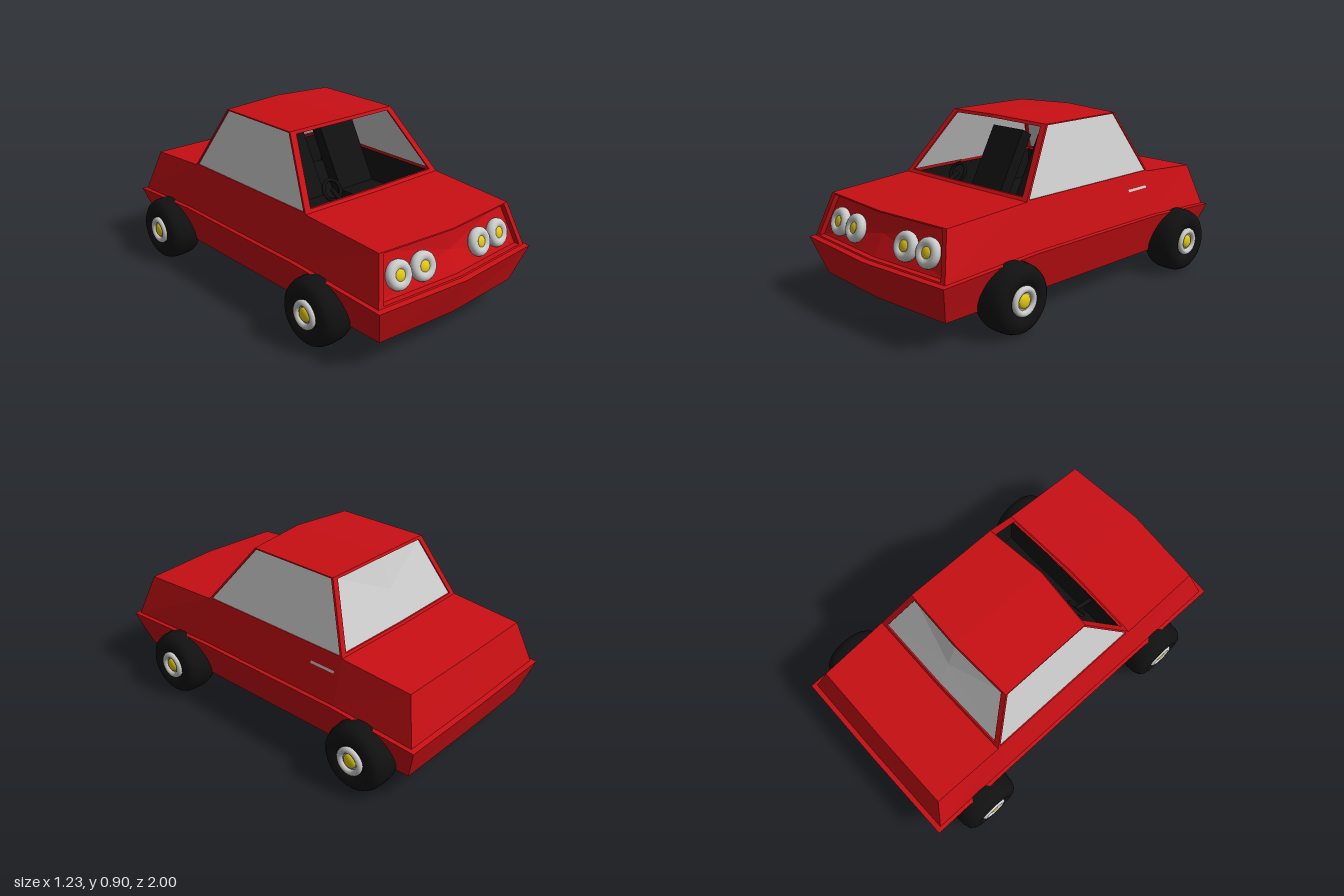
import * as THREE from 'three';

const mat = (color, extra = {}) => new THREE.MeshStandardMaterial({ color, ...extra });
const two = { side: THREE.DoubleSide };
const red = mat(0xc80f14, two);
const grey = mat(0xcccccc);
const glass = mat(0xcccccc, two);
const black = mat(0x111111, two);
const yellow = mat(0xe6c814);

function add(parent, name, geometry, material, pos = [0, 0, 0], rot = [0, 0, 0]) {
  const mesh = new THREE.Mesh(geometry, material);
  mesh.name = name;
  mesh.position.set(...pos);
  mesh.rotation.set(...rot);
  parent.add(mesh);
  return mesh;
}

// Flat-faced surface from triangles
function faces(tris) {
  const g = new THREE.BufferGeometry();
  g.setAttribute('position', new THREE.Float32BufferAttribute(tris.flat(), 3));
  g.computeVertexNormals();
  return g;
}

// Quads between successive rows of points
function strip(rows, closed = false) {
  const tris = [];
  for (let r = 0; r + 1 < rows.length; r++) {
    const a = rows[r], b = rows[r + 1], n = a.length;
    for (let i = 0; i < (closed ? n : n - 1); i++) {
      const j = (i + 1) % n;
      tris.push(a[i], a[j], b[j], a[i], b[j], b[i]);
    }
  }
  return faces(tris);
}

const centre = (pts) => [0, 1, 2].map((k) => pts.reduce((s, p) => s + p[k], 0) / pts.length);

function fan(pts) {
  const c = centre(pts);
  return faces(pts.flatMap((p, i) => [c, p, pts[(i + 1) % pts.length]]));
}

// Frame around an outline, with a recessed panel inside it
function framed(parent, name, outline, scale, push, panel) {
  const c = centre(outline);
  const inner = outline.map((p) => p.map((v, k) => c[k] + (v - c[k]) * scale));
  const deep = inner.map((p) => p.map((v, k) => v + push[k]));
  add(parent, name + 'Frame', strip([outline, inner, deep], true), red);
  if (panel) add(parent, name + 'Panel', fan(deep), panel);
}

// Plan outline of the body, counterclockwise from the front centre
function ring(wEnd, wMid, yEnd, yMid, zNose, zFront, zRear) {
  const half = [[wEnd, yEnd, zFront], [wMid, yMid, 0.39], [wMid, yMid, -0.52], [wEnd, yEnd, zRear]];
  const other = half.map(([x, y, z]) => [-x, y, z]).reverse();
  return [[0, yEnd, zNose], ...half, [0, yEnd, zRear - 0.004], ...other];
}

// A row across the car, with a slight crease at the centre
const row = (w, y, z, yc, zc) => [[-w, y, z], [0, yc, zc], [w, y, z]];

function makeBody() {
  const body = new THREE.Group();
  body.name = 'body';
  const bottom = ring(0.46, 0.46, 0.125, 0.125, 0.93, 0.9, -0.93);
  const belt = ring(0.525, 0.525, 0.315, 0.34, 1.0, 0.96, -0.996);
  const ledge = ring(0.505, 0.508, 0.32, 0.345, 0.97, 0.935, -0.97);
  const shoulder = ring(0.44, 0.45, 0.543, 0.572, 0.9, 0.865, -0.905);
  add(body, 'lowerBody', strip([bottom, belt, ledge], true), red);
  add(body, 'underside', fan([...bottom].reverse()), red);
  add(body, 'upperSides', strip([ledge.slice(1), shoulder.slice(1)]), red);
  framed(body, 'frontFascia',
    [ledge[9], ledge[0], ledge[1], shoulder[1], shoulder[0], shoulder[9]], 0.94, [0, 0, -0.03], red);

  // Hood, trunk lid and roof
  const nose = row(0.44, 0.543, 0.865, 0.543, 0.9);
  const cowl = row(0.45, 0.572, 0.39, 0.576, 0.405);
  const sill = row(0.45, 0.572, -0.52, 0.572, -0.527);
  const tail = row(0.44, 0.543, -0.905, 0.543, -0.909);
  const roofFront = row(0.34, 0.893, 0.148, 0.905, 0.177);
  const roofRear = row(0.34, 0.893, -0.365, 0.905, -0.38);
  add(body, 'hood', strip([nose, cowl]), red);
  add(body, 'trunkLid', strip([sill, tail]), red);
  add(body, 'roof', strip([roofFront, roofRear]), red);

  // Cabin windows, the windshield being open
  framed(body, 'windshield', [...cowl, ...[...roofFront].reverse()], 0.91, [0, 0, -0.012], null);
  framed(body, 'rearWindow', [...[...sill].reverse(), ...roofRear], 0.92, [0, 0, 0.008], glass);
  framed(body, 'leftWindow', [cowl[2], sill[2], roofRear[2], roofFront[2]], 0.965, [-0.006, 0, 0], glass);
  framed(body, 'rightWindow', [sill[0], cowl[0], roofFront[0], roofRear[0]], 0.965, [0.006, 0, 0], glass);

  add(body, 'doorHandle', new THREE.BoxGeometry(0.012, 0.042, 0.145), grey, [0.46, 0.508, -0.415], [0, 0, 0.27]);
  return body;
}

function makeInterior() {
  const interior = new THREE.Group();
  interior.name = 'interior';
  const level = (w, y, f, r) => [[w, y, f], [w, y, r], [-w, y, r], [-w, y, f]];
  const floor = level(0.42, 0.4, 0.36, -0.5);
  add(interior, 'cabinWalls', strip([floor, level(0.44, 0.565, 0.385, -0.515)], true), black);
  add(interior, 'cabinFloor', fan(floor), black);

  // Reclined seats
  for (const x of [-0.173, 0.173]) {
    add(interior, 'seatBack', new THREE.BoxGeometry(0.23, 0.38, 0.07), black, [x, 0.6, -0.03], [-0.5, 0, 0]);
    add(interior, 'seatCushion', new THREE.BoxGeometry(0.23, 0.07, 0.2), black, [x, 0.44, 0.13]);
  }
  add(interior, 'steeringWheel', new THREE.TorusGeometry(0.052, 0.009, 8, 24), black, [-0.178, 0.59, 0.27], [-0.5, 0, 0]);
  add(interior, 'steeringColumn', new THREE.CylinderGeometry(0.012, 0.012, 0.14, 10), black,
    [-0.178, 0.557, 0.33], [Math.PI / 2 + 0.5, 0, 0]);
  return interior;
}

function makeWheel(x, z) {
  const wheel = new THREE.Group();
  wheel.name = 'wheel';
  const profile = [[0, -0.08], [0.07, -0.085], [0.11, -0.094], [0.137, -0.09], [0.157, -0.073], [0.168, -0.045],
    [0.171, 0], [0.168, 0.045], [0.157, 0.073], [0.137, 0.09], [0.11, 0.094], [0.085, 0.088], [0.07, 0.07], [0, 0.07]]
    .map(([r, h]) => new THREE.Vector2(r, h));
  const quarter = Math.PI / 2;
  add(wheel, 'tire', new THREE.LatheGeometry(profile, 40), black, [0, 0, 0], [0, 0, -quarter]);
  add(wheel, 'rim', new THREE.TorusGeometry(0.058, 0.016, 12, 32), grey, [0.083, 0, 0], [0, quarter, 0]);
  add(wheel, 'hubDisc', new THREE.CylinderGeometry(0.055, 0.055, 0.02, 24), grey, [0.072, 0, 0], [0, 0, -quarter]);
  add(wheel, 'hubCap', new THREE.SphereGeometry(0.036, 20, 12), yellow, [0.082, 0, 0]).scale.x = 0.45;
  wheel.position.set(x, 0.171, z);
  if (x < 0) wheel.rotation.y = Math.PI;
  return wheel;
}

function makeHeadlight(x) {
  const light = new THREE.Group();
  light.name = 'headlight';
  add(light, 'lampRing', new THREE.TorusGeometry(0.047, 0.025, 14, 32), grey);
  add(light, 'lampDish', new THREE.CylinderGeometry(0.045, 0.045, 0.012, 24), grey, [0, 0, 0], [Math.PI / 2, 0, 0]);
  add(light, 'bulb', new THREE.SphereGeometry(0.033, 20, 12), yellow, [0, 0, 0.006]).scale.z = 0.5;
  light.position.set(x, 0.417, 0.915 - Math.abs(x) * 0.075);
  light.rotation.set(-0.31, Math.sign(x) * 0.075, 0);
  return light;
}

export function createModel() {
  const car = new THREE.Group();
  car.name = 'car';
  car.add(makeBody(), makeInterior());
  for (const side of [-1, 1]) {
    for (const z of [0.555, -0.7]) car.add(makeWheel(side * 0.517, z));
    for (const x of [0.195, 0.341]) car.add(makeHeadlight(side * x));
  }
  return car;
}
